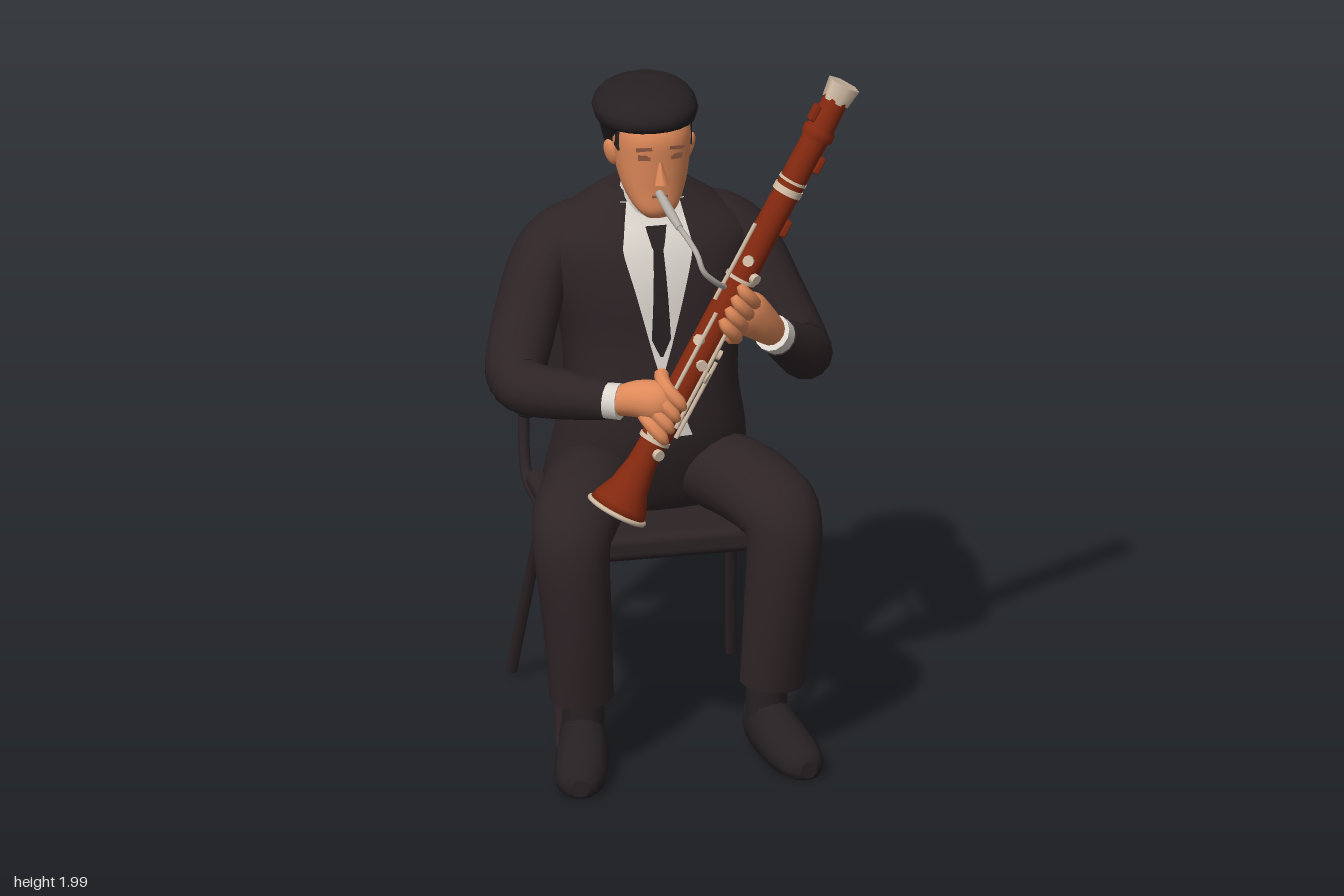
import * as THREE from 'three';
import { RoundedBoxGeometry } from 'three/addons/geometries/RoundedBoxGeometry.js';

const V = (x, y, z) => new THREE.Vector3(x, y, z);
const paint = (name, color, side = THREE.FrontSide) => {
  const m = new THREE.MeshStandardMaterial({ color, side });
  m.name = name;
  return m;
};

// Catmull-Rom resampling of rows of numbers
function smooth(rows, n = 4) {
  const out = [];
  for (let i = 0; i < rows.length - 1; i++) {
    const [a, b, c, d] = [i - 1, i, i + 1, i + 2].map(k => rows[Math.min(Math.max(k, 0), rows.length - 1)]);
    for (let s = 0; s < n; s++) {
      const t = s / n;
      out.push(b.map((p, k) => p + 0.5 * t * (c[k] - a[k] + t * (2 * a[k] - 5 * p + 4 * c[k] - d[k] + t * (3 * (p - c[k]) + d[k] - a[k])))));
    }
  }
  out.push(rows[rows.length - 1]);
  return out;
}

// closed skin over a list of rings
function loft(rings) {
  const n = rings[0].length, pos = [], idx = [];
  rings.forEach(r => r.forEach(p => pos.push(p.x, p.y, p.z)));
  for (let i = 0; i < rings.length - 1; i++) for (let j = 0; j < n; j++) {
    const a = i * n + j, b = i * n + (j + 1) % n;
    idx.push(a, b, b + n, a, b + n, a + n);
  }
  [rings[0], rings[rings.length - 1]].forEach((r, end) => {
    const base = pos.length / 3, c = V(0, 0, 0);
    r.forEach(p => { pos.push(p.x, p.y, p.z); c.addScaledVector(p, 1 / n); });
    pos.push(c.x, c.y, c.z);
    for (let j = 0; j < n; j++) {
      const a = base + j, b = base + (j + 1) % n;
      if (end) idx.push(base + n, a, b); else idx.push(base + n, b, a);
    }
  });
  const g = new THREE.BufferGeometry();
  g.setAttribute('position', new THREE.Float32BufferAttribute(pos, 3));
  g.setIndex(idx);
  g.computeVertexNormals();
  return g;
}

// horizontal sections: [y, cx, cz, rx, rz]
const sp = (v, p) => Math.sign(v) * Math.abs(v) ** (2 / p);
function stack(rows, p = 2, n = 24) {
  return loft(rows.map(([y, cx, cz, rx, rz]) => Array.from({ length: n }, (_, j) => {
    const a = j / n * Math.PI * 2;
    return V(cx + rx * sp(Math.cos(a), p), y, cz - rz * sp(Math.sin(a), p));
  })));
}

// rounded limb along a path: [x, y, z, radius, second radius]
function limb(rows, ref = V(0, 0, 1), n = 14, steps = 4) {
  const s = smooth(rows.map(r => [r[0], r[1], r[2], r[3], r[4] ?? r[3]]), steps);
  const at = i => V(...s[Math.min(Math.max(i, 0), s.length - 1)].slice(0, 3));
  return loft(s.map((r, i) => {
    const t = at(i + 1).sub(at(i - 1)).normalize();
    const u = ref.clone().addScaledVector(t, -ref.dot(t)).normalize();
    const v = t.clone().cross(u);
    return Array.from({ length: n }, (_, j) => {
      const a = j / n * Math.PI * 2;
      return at(i).addScaledVector(u, r[3] * Math.cos(a)).addScaledVector(v, r[4] * Math.sin(a));
    });
  }));
}

const tube = (pts, r, seg = 32) =>
  new THREE.TubeGeometry(new THREE.CatmullRomCurve3(pts.map(p => V(...p))), seg, r, 8, false);

export function createModel() {
  const root = new THREE.Group();
  root.name = 'seatedMusician';
  const suit = paint('suit', 0x2e2426), hairMat = paint('hair', 0x262022), chairMat = paint('chair', 0x2c2325);
  const skin = paint('skin', 0xe08a5a), shirt = paint('shirt', 0xdcd6ce, THREE.DoubleSide);
  const wood = paint('wood', 0x83280f, THREE.DoubleSide), cream = paint('cream', 0xd2bda6);
  const metal = paint('metal', 0xb3ada6), shade = paint('faceShade', 0x8e5640);
  const group = name => { const g = new THREE.Group(); g.name = name; root.add(g); return g; };
  const add = (parent, name, geo, mat, pos, rot) => {
    const m = new THREE.Mesh(geo, mat);
    m.name = name;
    if (pos) m.position.set(...pos);
    if (rot) m.rotation.set(...rot);
    parent.add(m);
    return m;
  };

  // Chair
  const chair = group('chair');
  add(chair, 'seat', new RoundedBoxGeometry(0.56, 0.075, 0.56, 3, 0.025), chairMat, [-0.01, 0.582, -0.12]);
  add(chair, 'backrest', new RoundedBoxGeometry(0.6, 0.41, 0.06, 3, 0.025), chairMat, [-0.01, 0.97, -0.437], [-0.12, 0, 0]);
  for (const s of [-1, 1]) {
    const at = ([x, y, z]) => [s * x - 0.01, y, z];
    add(chair, 'backPost', tube([[0.265, 1.12, -0.505], [0.265, 0.85, -0.475], [0.27, 0.66, -0.445], [0.27, 0.59, -0.41],
      [0.27, 0.57, -0.3], [0.27, 0.565, -0.1]].map(at), 0.016), chairMat);
    add(chair, 'legs', tube([[0.3, 0.015, 0.15], [0.285, 0.25, 0.09], [0.275, 0.44, 0.04], [0.27, 0.52, -0.03], [0.27, 0.525, -0.2],
      [0.275, 0.44, -0.265], [0.29, 0.25, -0.34], [0.31, 0.015, -0.425]].map(at), 0.017, 48), chairMat);
  }

  // Jacket body
  const body = group('body'), P = 2.3;
  const torso = smooth([[0.635, -0.01, -0.15, 0.255, 0.165], [0.7, -0.01, -0.135, 0.28, 0.185], [0.85, 0, -0.105, 0.262, 0.2],
    [1, 0, -0.1, 0.24, 0.195], [1.15, 0, -0.11, 0.25, 0.185], [1.3, -0.01, -0.115, 0.28, 0.18],
    [1.42, -0.01, -0.12, 0.29, 0.155], [1.5, -0.01, -0.13, 0.21, 0.12], [1.565, -0.01, -0.12, 0.115, 0.08]]);
  add(body, 'jacket', stack(torso, P, 32), suit);

  // Thin cloth laid on the chest; stations are [y, x from, x to]
  const chestZ = (x, y) => {
    const i = Math.max(1, torso.findIndex(r => r[0] >= y)), a = torso[i - 1], b = torso[i];
    const [, cx, cz, rx, rz] = a.map((v, k) => v + (b[k] - v) * (y - a[0]) / (b[0] - a[0]));
    return cz + rz * Math.max(0, 1 - Math.abs((x - cx) / rx) ** P) ** (1 / P);
  };
  const drape = (name, mat, lift, st) => {
    const g = new THREE.PlaneGeometry(1, 1, 6, 16), p = g.attributes.position;
    for (let i = 0; i < p.count; i++) {
      const f = (p.getY(i) + 0.5) * (st.length - 1), k = Math.min(Math.floor(f), st.length - 2);
      const [y, l, r] = st[k].map((v, n) => v + (st[k + 1][n] - v) * (f - k));
      const x = l + (r - l) * (p.getX(i) + 0.5);
      p.setXYZ(i, x, y, chestZ(x, y) + lift);
    }
    g.computeVertexNormals();
    add(body, name, g, mat);
  };
  drape('shirtFront', shirt, 0.005, [[1.08, -0.02, 0], [1.3, -0.085, 0.07], [1.46, -0.115, 0.095], [1.54, -0.1, 0.08]]);
  drape('shirtHem', shirt, 0.005, [[0.885, -0.035, 0.075], [0.91, -0.02, 0.065], [1.01, 0.018, 0.028]]);
  drape('tie', hairMat, 0.011, [[1.12, -0.014, -0.006], [1.17, -0.037, 0.017], [1.42, -0.024, 0.004], [1.43, -0.028, 0.008], [1.48, -0.04, 0.02]]);
  for (const s of [-1, 1]) {
    drape('lapel', suit, 0.012, [[1.08, 0.012, 0.045], [1.3, 0.068, 0.14], [1.42, 0.1, 0.17], [1.54, 0.075, 0.11]]
      .map(([y, a, b]) => s > 0 ? [y, a - 0.01, b - 0.01] : [y, -b - 0.01, -a - 0.01]));
  }
  add(body, 'collar', new THREE.CylinderGeometry(0.074, 0.092, 0.065, 20, 1, true), shirt, [-0.012, 1.545, -0.075], [0.5, 0, 0]);

  // Legs and shoes
  for (const s of [-1, 1]) {
    const at = rows => rows.map(([x, ...r]) => [s * x - 0.01, ...r]);
    const X = V(1, 0, 0);
    add(body, 'trouserLeg', limb(at([[0.13, 0.725, -0.16, 0.09, 0.085], [0.17, 0.735, -0.02, 0.122, 0.105], [0.22, 0.745, 0.11, 0.125, 0.112],
      [0.278, 0.722, 0.24, 0.12, 0.102], [0.3, 0.65, 0.295, 0.107, 0.103], [0.285, 0.45, 0.295, 0.097, 0.1],
      [0.268, 0.21, 0.28, 0.09, 0.082]]), X, 18), suit);
    add(body, 'sock', limb(at([[0.258, 0.26, 0.262, 0.056, 0.06], [0.258, 0.08, 0.255, 0.06, 0.065]]), X), hairMat);
    const shoe = limb(at([[0.25, 0.07, 0.178, 0.03, 0.045], [0.255, 0.075, 0.2, 0.055, 0.085], [0.265, 0.075, 0.28, 0.066, 0.09],
      [0.285, 0.055, 0.36, 0.073, 0.075], [0.308, 0.035, 0.44, 0.07, 0.058], [0.318, 0.03, 0.49, 0.052, 0.045], [0.322, 0.03, 0.51, 0.025, 0.025]]), X);
    const p = shoe.attributes.position;
    for (let i = 0; i < p.count; i++) p.setY(i, Math.max(0, p.getY(i)));
    shoe.computeVertexNormals();
    add(body, 'shoe', shoe, hairMat);
  }

  // Arms
  add(body, 'rightSleeve', limb([[-0.12, 1.45, -0.14, 0.08, 0.07], [-0.225, 1.425, -0.145, 0.1, 0.075], [-0.3, 1.355, -0.125, 0.108, 0.085],
    [-0.355, 1.235, -0.06, 0.103, 0.09], [-0.405, 1.125, 0.025, 0.088], [-0.422, 1.09, 0.085, 0.078], [-0.395, 1.08, 0.14, 0.076],
    [-0.32, 1.08, 0.2, 0.07], [-0.205, 1.08, 0.272, 0.055]]), suit);
  add(body, 'leftSleeve', limb([[0.1, 1.45, -0.14, 0.08, 0.07], [0.205, 1.425, -0.145, 0.1, 0.075], [0.28, 1.355, -0.125, 0.108, 0.085],
    [0.33, 1.235, -0.06, 0.103, 0.09], [0.378, 1.13, 0.01, 0.087], [0.395, 1.098, 0.06, 0.078], [0.388, 1.108, 0.11, 0.076],
    [0.35, 1.15, 0.17, 0.07], [0.285, 1.215, 0.24, 0.056]]), suit);
  add(body, 'rightCuff', limb([[-0.22, 1.08, 0.265, 0.05], [-0.172, 1.083, 0.295, 0.052]]), shirt);
  add(body, 'leftCuff', limb([[0.295, 1.205, 0.23, 0.051], [0.262, 1.238, 0.264, 0.053]]), shirt);
  add(body, 'rightPalm', limb([[-0.19, 1.08, 0.285, 0.038], [-0.13, 1.1, 0.325, 0.054, 0.052], [-0.08, 1.1, 0.36, 0.052, 0.058],
    [-0.045, 1.095, 0.375, 0.03, 0.04]]), skin);
  add(body, 'leftPalm', limb([[0.275, 1.225, 0.25, 0.038], [0.225, 1.28, 0.285, 0.05, 0.054], [0.175, 1.33, 0.32, 0.045, 0.064],
    [0.15, 1.35, 0.335, 0.03, 0.045]]), skin);

  // Head
  const head = group('head'), hx = -0.018;
  add(head, 'neck', limb([[-0.012, 1.48, -0.085, 0.066], [-0.015, 1.57, -0.06, 0.064], [hx, 1.68, -0.04, 0.07]]), skin);
  add(head, 'face', stack(smooth([[1.532, hx, 0.06, 0.032, 0.025], [1.56, hx, 0.042, 0.062, 0.06], [1.62, hx, 0.008, 0.09, 0.097],
    [1.7, hx, -0.012, 0.104, 0.125], [1.78, hx, -0.015, 0.106, 0.132], [1.85, hx, -0.02, 0.08, 0.1]]), 2.3), skin);
  add(head, 'hair', stack(smooth([[1.665, -0.022, -0.1, 0.07, 0.045], [1.7, -0.025, -0.088, 0.104, 0.068], [1.745, -0.03, -0.068, 0.116, 0.093],
    [1.785, -0.033, -0.045, 0.126, 0.122], [1.805, -0.035, -0.015, 0.138, 0.152], [1.84, -0.036, -0.01, 0.144, 0.158],
    [1.872, -0.033, -0.013, 0.125, 0.138], [1.893, -0.03, -0.018, 0.088, 0.1], [1.903, -0.03, -0.02, 0.04, 0.05]]), 2.15), hairMat);
  for (const s of [-1, 1]) add(head, 'sideburn', new RoundedBoxGeometry(0.012, 0.07, 0.05, 2, 0.005), hairMat, [hx + s * 0.1, 1.755, 0.012]);
  add(head, 'nose', new THREE.ConeGeometry(0.022, 0.08, 6), skin, [hx, 1.685, 0.114], [-0.18, 0, 0]);
  add(head, 'mouth', new RoundedBoxGeometry(0.045, 0.009, 0.009, 1, 0.003), shade, [hx, 1.603, 0.1]);
  for (const s of [-1, 1]) {
    add(head, 'ear', new THREE.SphereGeometry(1, 12, 8), skin, [hx + s * 0.11, 1.695, -0.025], [0, -s * 0.5, s * -0.25]).scale.set(0.014, 0.04, 0.026);
    add(head, 'eye', new THREE.BoxGeometry(0.034, 0.016, 0.009), shade, [hx + s * 0.045, 1.722, 0.104], [0, s * 0.25, 0]);
    add(head, 'eyebrow', new THREE.BoxGeometry(0.045, 0.01, 0.009), shade, [hx + s * 0.046, 1.748, 0.107], [0, s * 0.25, -s * 0.1]);
  }

  // Woodwind, built upright then leaned along its axis
  const wind = group('woodwind'), foot = V(-0.2, 0.787, 0.365), tip = V(0.46, 1.965, 0.285);
  wind.position.copy(foot);
  wind.quaternion.setFromUnitVectors(V(0, 1, 0), tip.sub(foot).normalize());
  const profile = [[0, 0.03], [0.06, 0.01], [0.084, 0], [0.078, 0.03], [0.055, 0.08], [0.041, 0.15], [0.038, 0.22], [0.043, 0.24], [0.043, 0.7],
    [0.04, 0.74], [0.038, 1.0], [0.038, 1.18], [0.046, 1.19], [0.046, 1.21], [0.038, 1.22], [0.036, 1.31]];
  add(wind, 'bore', new THREE.LatheGeometry(profile.map(p => new THREE.Vector2(...p)), 20), wood);
  add(wind, 'bellRim', new THREE.TorusGeometry(0.083, 0.007, 8, 24), cream, [0, 0.004, 0], [Math.PI / 2, 0, 0]);
  for (const [y, r, h] of [[0.23, 0.045, 0.012], [0.74, 0.045, 0.01], [1.02, 0.042, 0.02], [1.05, 0.041, 0.008]])
    add(wind, 'ring', new THREE.CylinderGeometry(r, r, h, 20), cream, [0, y, 0]);
  add(wind, 'topCap', new THREE.CylinderGeometry(0.048, 0.04, 0.055, 6), cream, [0, 1.328, 0]);
  for (const [x, z, y, h] of [[0.022, 0.046, 0.5, 0.42], [-0.03, 0.04, 0.48, 0.3], [0.046, 0.02, 0.38, 0.24], [-0.045, 0.02, 0.78, 0.24], [0.035, -0.032, 0.55, 0.3]])
    add(wind, 'keyRod', new THREE.CylinderGeometry(0.006, 0.006, h, 6), cream, [x, y, z]);
  for (const [a, y] of [[1.2, 0.2], [2.2, 0.25], [0.6, 0.45], [1.5, 0.48], [2.4, 0.54], [1, 0.76], [2, 0.8], [0.2, 0.52]])
    add(wind, 'keyPad', new THREE.CylinderGeometry(0.016, 0.016, 0.016, 8), cream, [0.045 * Math.cos(a), y, 0.045 * Math.sin(a)])
      .quaternion.setFromUnitVectors(V(0, 1, 0), V(Math.cos(a), 0, Math.sin(a)));
  for (const [x, y] of [[0.042, 1.12], [-0.042, 1.25], [0.042, 0.92]])
    add(wind, 'woodKey', new RoundedBoxGeometry(0.02, 0.05, 0.03, 1, 0.006), wood, [x, y, 0.01]);

  // Fingers wrapped round the bore
  for (const [name, y0, from, turn] of [['leftFinger', 0.575, -0.3, 1], ['rightFinger', 0.29, Math.PI + 0.3, -1]]) {
    for (let i = 0; i < 4; i++) {
      const pts = [0, 0.6, 1.2, 1.75, 2.1].map((a, k) => {
        const q = from + turn * a, r = 0.068 - 0.003 * k;
        return [r * Math.cos(q), y0 + i * 0.036 + turn * 0.012 * k, r * Math.sin(q), k === 4 ? 0.011 : 0.021 - 0.001 * k];
      });
      add(wind, name, limb(pts, V(0, 1, 0), 8, 3), skin);
    }
    const thumb = [0, 0.7, 1.4].map((a, k) => {
      const q = from - turn * a;
      return [0.06 * Math.cos(q), y0 + 0.06, 0.06 * Math.sin(q), 0.022 - 0.004 * k];
    });
    add(wind, name.replace('Finger', 'Thumb'), limb(thumb, V(0, 1, 0), 8, 3), skin);
  }

  // Mouthpipe from the lips to the bore
  add(root, 'reed', limb([[-0.02, 1.612, 0.1, 0.012], [-0.008, 1.588, 0.18, 0.014], [0.005, 1.565, 0.25, 0.01]], V(1, 0, 0), 10), metal);
  add(root, 'mouthpipe', tube([[0.003, 1.567, 0.24], [0.018, 1.55, 0.32], [0.028, 1.53, 0.375], [0.04, 1.49, 0.39], [0.075, 1.45, 0.375], [0.12, 1.41, 0.335]], 0.008), metal);
  return root;
}
